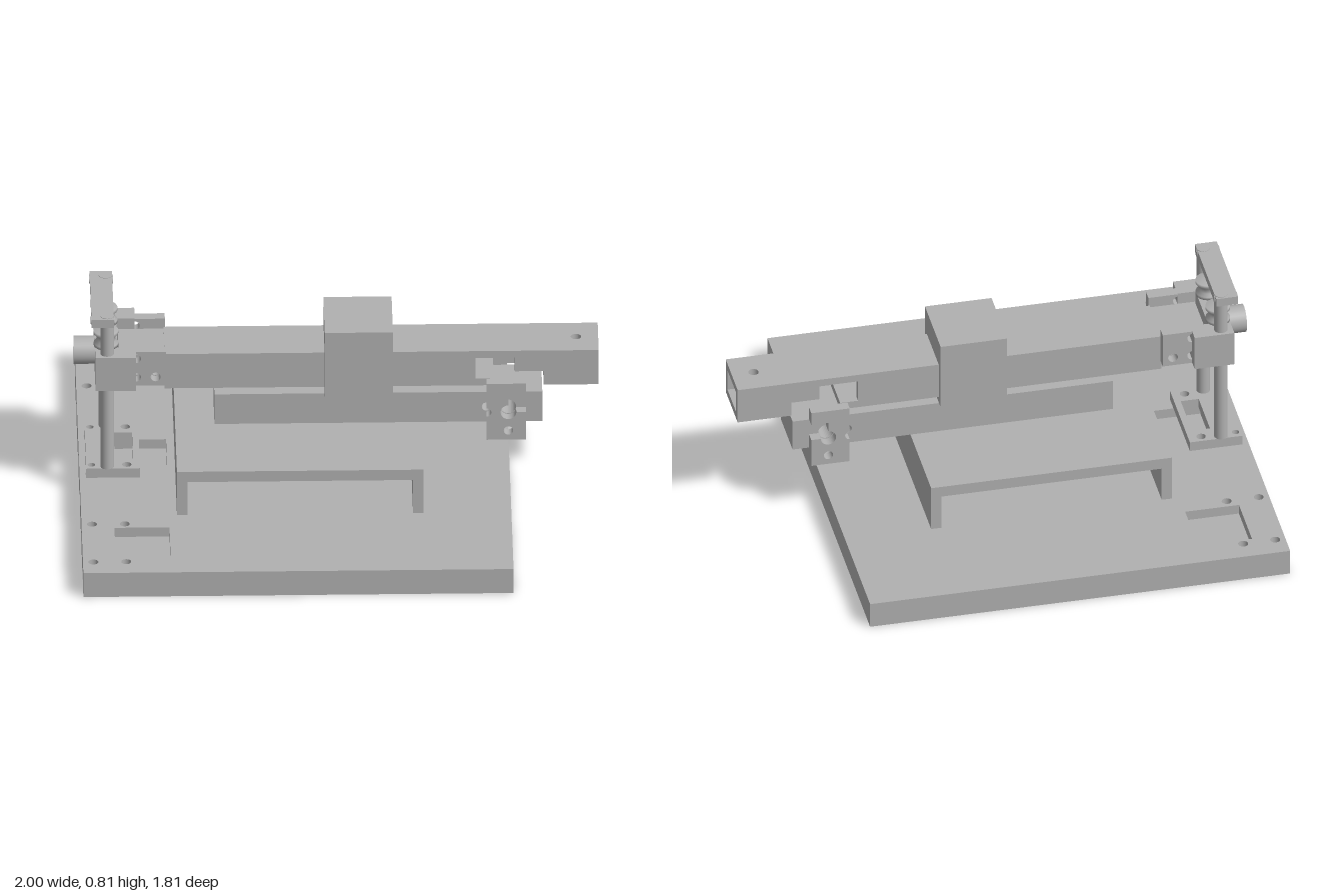
import * as THREE from 'three';

const grey = new THREE.MeshStandardMaterial({ color: 0xb0b0b0 });
grey.name = 'machined grey';

const poly = (pts) => new THREE.Shape(pts.map(([x, y]) => new THREE.Vector2(x, y)));
const rect = (x0, x1, y0, y1) => poly([[x0, y0], [x1, y0], [x1, y1], [x0, y1]]);
const circle = (x, y, r) => new THREE.Shape().absarc(x, y, r, 0, Math.PI * 2, false);
const withHoles = (shape, holes) => {
  shape.holes.push(...holes);
  return shape;
};

export function createModel() {
  const model = new THREE.Group();
  model.name = 'beam test stand';

  const add = (name, geometry, x = 0, y = 0, z = 0) => {
    const mesh = new THREE.Mesh(geometry, grey);
    mesh.name = name;
    mesh.position.set(x, y, z);
    model.add(mesh);
    return mesh;
  };
  const box = (name, x0, x1, y0, y1, z0, z1) =>
    add(name, new THREE.BoxGeometry(x1 - x0, y1 - y0, z1 - z0), (x0 + x1) / 2, (y0 + y1) / 2, (z0 + z1) / 2);
  // Profile drawn in x,y and extruded along z
  const plate = (name, shape, z0, z1) =>
    add(name, new THREE.ExtrudeGeometry(shape, { depth: z1 - z0, bevelEnabled: false, curveSegments: 16 }), 0, 0, z0);
  // Plan drawn in x,z and extruded along y
  const slab = (name, shape, y0, y1) =>
    add(name, new THREE.ExtrudeGeometry(shape, { depth: y1 - y0, bevelEnabled: false, curveSegments: 16 })
      .rotateX(Math.PI / 2), 0, y1, 0);

  // Base board: notched underside, solid middle, pocketed top
  const stations = [-0.82, -0.53, -0.145, 0.145, 0.53, 0.82];
  const boltHoles = () => stations.flatMap((z) => [circle(-0.94, z, 0.019), circle(-0.815, z, 0.019)]);
  const edge = [[0.66, -0.905], [0.66, 0.905], [-0.98, 0.905]];
  [...stations].reverse().forEach((z) =>
    edge.push([-0.98, z + 0.05], [-0.9, z + 0.05], [-0.9, z - 0.05], [-0.98, z - 0.05]));
  edge.push([-0.98, -0.905]);
  slab('baseUnderside', withHoles(poly(edge), stations.map((z) => rect(-0.855, -0.775, z - 0.05, z + 0.05))), 0, 0.04);
  slab('baseCore', withHoles(rect(-0.98, 0.66, -0.905, 0.905), boltHoles()), 0.04, 0.065);
  slab('baseTop', withHoles(rect(-0.98, 0.66, -0.905, 0.905),
    [...boltHoles(), ...[-0.68, 0, 0.675].map((z) => rect(-0.855, -0.645, z - 0.115, z + 0.115))]), 0.065, 0.105);

  // Bridge table
  plate('table', poly([[-0.615, 0.105], [-0.575, 0.105], [-0.575, 0.25], [0.285, 0.25], [0.285, 0.105],
    [0.325, 0.105], [0.325, 0.295], [-0.615, 0.295]]), -0.468, 0.468);

  // Lower bar with cross holes
  plate('lowerBar', withHoles(rect(-0.465, 0.785, 0.295, 0.425),
    [circle(0.572, 0.36, 0.018), circle(0.655, 0.36, 0.03)]), -0.103, 0.103);

  // Hollow upper beam with stepped side windows
  const wall = [[-0.655, 0.455], [0.6, 0.455], [0.6, 0.485], [0.53, 0.485], [0.53, 0.575], [0.68, 0.575],
    [0.68, 0.515], [0.79, 0.515], [0.79, 0.455], [1, 0.455], [1, 0.605], [-0.655, 0.605]];
  plate('beamSideLeft', poly(wall), 0.075, 0.105);
  plate('beamSideRight', poly(wall), -0.105, -0.075);
  slab('beamTop', withHoles(rect(-0.655, 1, -0.075, 0.075), [circle(0.915, 0, 0.02)]), 0.575, 0.605);
  slab('beamBottomEnd', withHoles(rect(0.79, 1, -0.075, 0.075), [circle(0.915, 0, 0.02)]), 0.455, 0.485);
  box('beamBottom', -0.655, 0.6, 0.455, 0.485, -0.075, 0.075);

  // Rounded plug at the beam's pivot end
  const plug = new THREE.Shape();
  plug.moveTo(-0.655, 0.465);
  plug.lineTo(-0.655, 0.6);
  plug.lineTo(-0.83, 0.6);
  plug.lineTo(-0.83, 0.525);
  plug.absarc(-0.77, 0.525, 0.06, Math.PI, Math.PI * 1.5, false);
  plug.closePath();
  plate('beamPlug', withHoles(plug, [circle(-0.765, 0.53, 0.019), circle(-0.69, 0.53, 0.019)]), -0.1, 0.1);

  // Weight sleeve around the beam
  box('weightBlock', -0.045, 0.215, 0.43, 0.71, -0.138, 0.138);

  // Foot frame
  slab('foot', withHoles(rect(-0.955, -0.75, -0.175, 0.175), [rect(-0.845, -0.775, -0.1, 0.1),
    circle(-0.935, 0.145, 0.014), circle(-0.935, -0.145, 0.014),
    circle(-0.8, 0.145, 0.018), circle(-0.8, -0.145, 0.018)]), 0.105, 0.145);

  // Carriage cross wall, pivot knob and top tie bar
  box('carriageWall', -0.92, -0.835, 0.495, 0.64, -0.11, 0.11);
  add('pivotKnob', new THREE.CylinderGeometry(0.054, 0.054, 0.08, 32).rotateZ(Math.PI / 2), -0.96, 0.568, 0);
  box('topBar', -0.935, -0.85, 0.77, 0.805, -0.188, 0.188);

  // Slotted hook plate with a keyhole on its outer side
  const hook = new THREE.Shape();
  hook.moveTo(0.572, 0.24);
  hook.lineTo(0.722, 0.24);
  hook.lineTo(0.722, 0.36);
  hook.lineTo(0.685, 0.36);
  hook.absarc(0.655, 0.36, 0.03, 0, Math.PI / 2, true);
  hook.lineTo(0.655, 0.43);
  hook.lineTo(0.722, 0.43);
  hook.lineTo(0.722, 0.485);
  hook.lineTo(0.572, 0.485);
  hook.lineTo(0.572, 0.378);
  hook.absarc(0.572, 0.36, 0.018, Math.PI / 2, -Math.PI / 2, true);
  hook.closePath();
  hook.holes.push(circle(0.655, 0.28, 0.018));

  // Carriage lug with one full hole and two open half holes
  const lug = new THREE.Shape();
  lug.moveTo(-0.765, 0.495);
  lug.lineTo(-0.65, 0.495);
  lug.lineTo(-0.65, 0.64);
  lug.lineTo(-0.765, 0.64);
  for (const y of [0.61, 0.53]) lug.absarc(-0.765, y, 0.019, Math.PI / 2, -Math.PI / 2, true);
  lug.closePath();
  lug.holes.push(circle(-0.69, 0.53, 0.019));

  // Waisted bobbin profile
  const bobbin = [[0, 0], [0.047, 0], [0.047, 0.012], [0.036, 0.022], [0.036, 0.04], [0.047, 0.052], [0.047, 0.065], [0, 0.065]]
    .map(([r, y]) => new THREE.Vector2(r, y));

  // Parts mirrored on both sides
  for (const [side, s] of [['Left', 1], ['Right', -1]]) {
    const span = (a, b) => (s > 0 ? [a, b] : [-b, -a]);
    plate('hookPlate' + side, hook, ...span(0.108, 0.148));
    plate('carriageLug' + side, lug, ...span(0.106, 0.148));
    box('carriageCheek' + side, -0.92, -0.765, 0.495, 0.64, ...span(0.11, 0.192));
    add('post' + side, new THREE.CylinderGeometry(0.026, 0.026, 0.662, 24), -0.875, 0.476, s * 0.156);
    add('bobbin' + side, new THREE.LatheGeometry(bobbin, 24), -0.878, 0.64, s * 0.088);
    add('tieScrew' + side, new THREE.CylinderGeometry(0.016, 0.016, 0.09, 16).rotateZ(Math.PI / 2), -0.8925, 0.787, s * 0.156);
  }
  return model;
}
